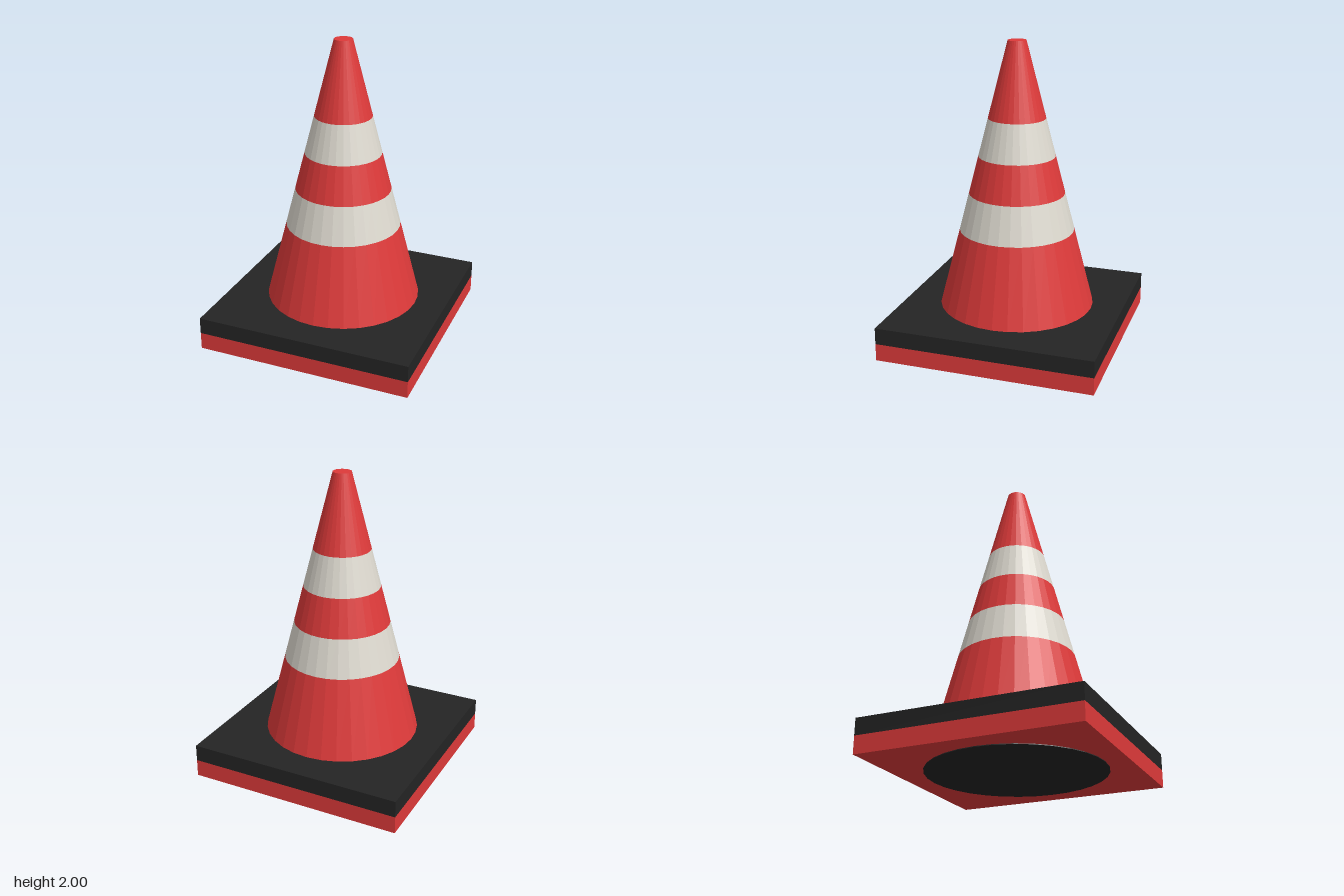
import * as THREE from 'three';

const paint = (name, color) => {
  const m = new THREE.MeshStandardMaterial({ color });
  m.name = name;
  m.flatShading = true;
  return m;
};

export function createModel() {
  const red = paint('red', 0xde3a3a);
  const white = paint('offWhite', 0xdedad0);
  const black = paint('black', 0x242424);

  const group = new THREE.Group();
  group.name = 'trafficCone';
  const add = (name, geometry, material, y) => {
    const mesh = new THREE.Mesh(geometry, material);
    mesh.name = name;
    mesh.position.y = y;
    group.add(mesh);
  };

  // Two-layer square base, held just off the ground by the cone foot
  add('lowerBase', new THREE.BoxGeometry(1.44, 0.115, 1.44), red, 0.0625);
  add('upperBase', new THREE.BoxGeometry(1.44, 0.11, 1.44), black, 0.175);

  // Tapered cone stacked from coloured bands
  const radiusAt = (y) => 0.06 + 0.2575 * (2 - y);
  const bands = [
    ['coneFoot', 0, 0.2, black],
    ['lowerCone', 0.2, 0.75, red],
    ['lowerStripe', 0.75, 1, white],
    ['middleCone', 1, 1.25, red],
    ['upperStripe', 1.25, 1.5, white],
    ['coneTip', 1.5, 2, red],
  ];
  for (const [name, y0, y1, material] of bands) {
    const open = y0 > 0 && y1 < 2; // only the foot and tip need caps
    add(name, new THREE.CylinderGeometry(radiusAt(y1), radiusAt(y0), y1 - y0, 32, 1, open), material, (y0 + y1) / 2);
  }
  return group;
}
